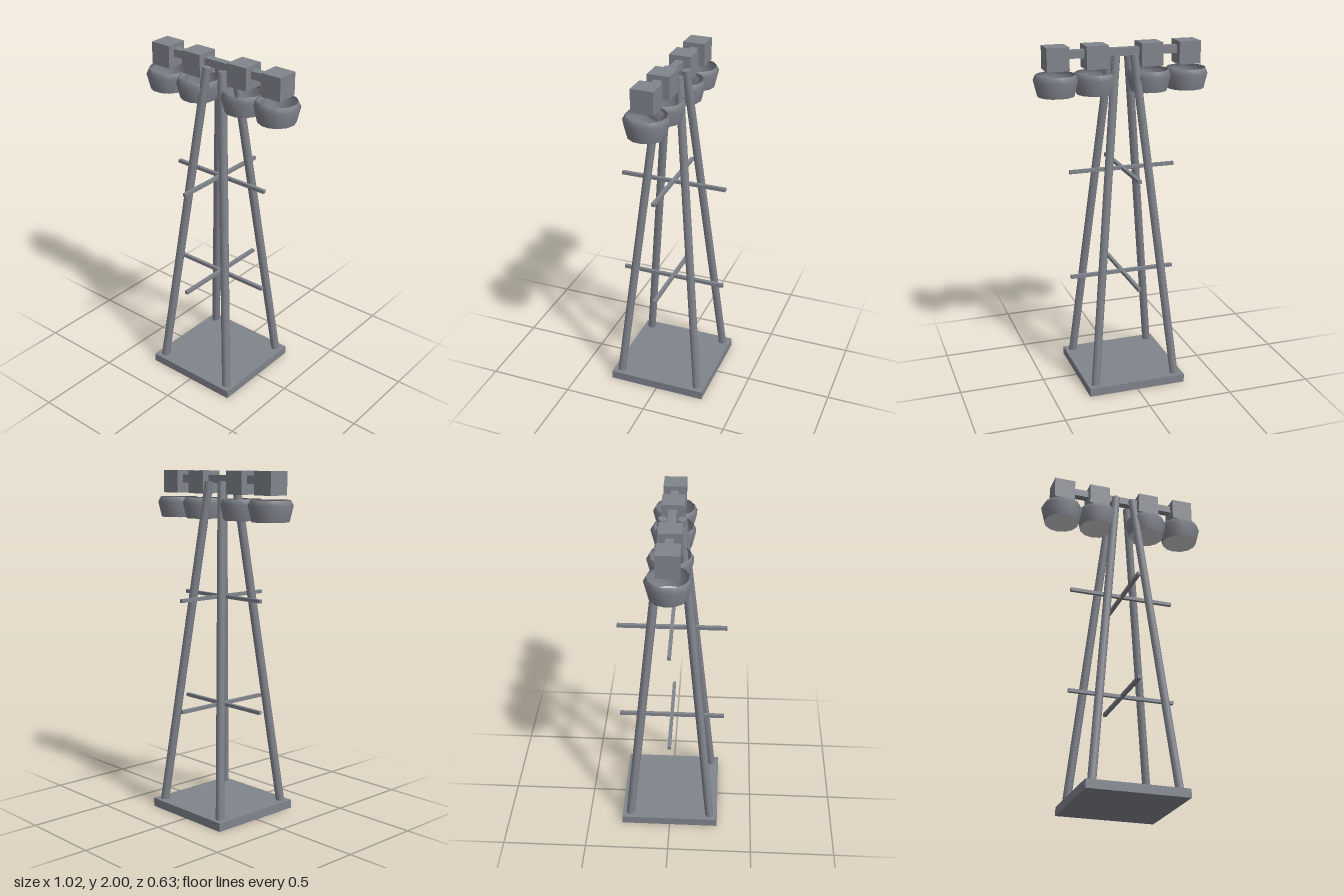
import * as THREE from 'three';

export function createModel() {
  const tower = new THREE.Group();
  tower.name = 'floodlightTower';
  const metal = new THREE.MeshStandardMaterial({ color: 0x80848c });
  const shell = new THREE.MeshStandardMaterial({ color: 0x80848c, side: THREE.DoubleSide });
  const glass = new THREE.MeshStandardMaterial({ color: 0xccccc8, side: THREE.DoubleSide });

  const add = (name, geometry, material, x = 0, y = 0, z = 0) => {
    const mesh = new THREE.Mesh(geometry, material);
    mesh.name = name;
    mesh.position.set(x, y, z);
    tower.add(mesh);
    return mesh;
  };
  const box = (name, w, h, d, x, y, z) => add(name, new THREE.BoxGeometry(w, h, d), metal, x, y, z);

  // Square foot plate
  box('base', 0.585, 0.05, 0.585, 0, 0.025, 0);

  // Four legs leaning in towards the top
  const up = new THREE.Vector3(0, 1, 0);
  for (const sx of [-1, 1]) {
    for (const sz of [-1, 1]) {
      const foot = new THREE.Vector3(sx * 0.247, 0.03, sz * 0.247);
      const head = new THREE.Vector3(sx * 0.053, 1.94, sz * 0.053);
      const dir = head.clone().sub(foot);
      const leg = add('leg', new THREE.CylinderGeometry(0.025, 0.025, dir.length(), 8), metal);
      leg.position.copy(foot).add(head).multiplyScalar(0.5);
      leg.quaternion.setFromUnitVectors(up, dir.normalize());
    }
  }

  // Crossed braces at two heights
  for (const y of [0.643, 1.283]) {
    box('braceAcross', 0.63, 0.02, 0.02, 0, y, 0);
    box('braceDeep', 0.02, 0.02, 0.63, 0, y, 0);
  }

  // Bar carrying the lamps
  box('lampBar', 0.77, 0.045, 0.045, 0, 1.952, 0);

  // Lamp housings, open reflector bowls and their lenses
  const profile = [[0.105, 1.727], [0.127, 1.815], [0.112, 1.845]]
    .map(([r, y]) => new THREE.Vector2(r, y));
  const bowl = new THREE.LatheGeometry(profile, 13, Math.PI);
  const lens = new THREE.CircleGeometry(0.105, 13, Math.PI / 2).rotateX(-Math.PI / 2);
  for (const x of [-0.383, -0.159, 0.159, 0.383]) {
    box('lampHousing', 0.127, 0.13, 0.127, x, 1.935, 0);
    add('lampBowl', bowl, shell, x);
    add('lampLens', lens, glass, x, 1.727, 0);
  }
  return tower;
}
